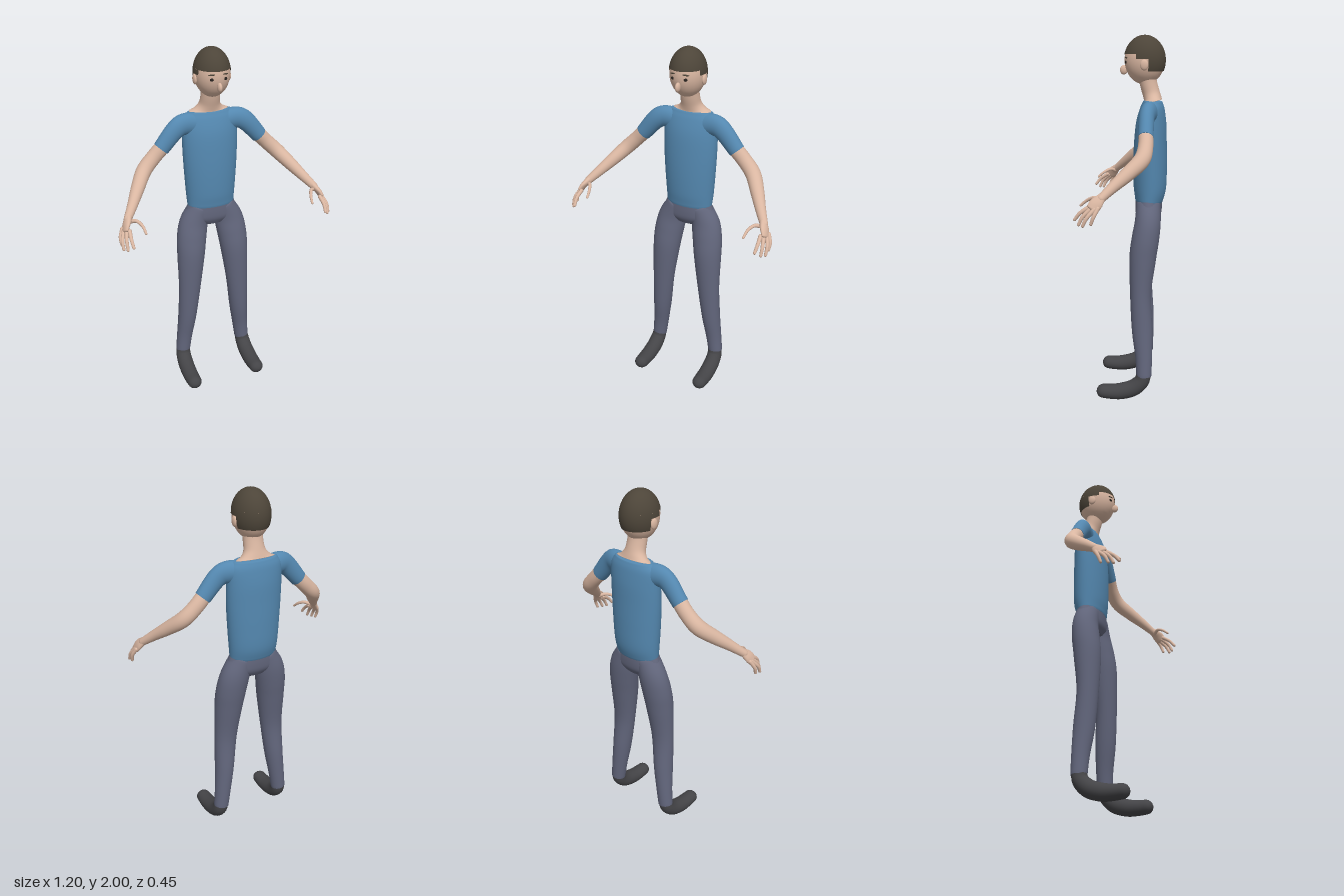
import * as THREE from 'three';

const mat = (name, color, side = THREE.FrontSide) => {
  const m = new THREE.MeshStandardMaterial({ color, side });
  m.name = name;
  return m;
};

const X = new THREE.Vector3(1, 0, 0);
const Z = new THREE.Vector3(0, 0, 1);

// Smooth loft through sections [x, y, z, ra, rb]; ra lies along the ref axis.
// caps = how far each end bulges, relative to its radius.
function loft(sections, { ref = X, caps = [1, 1], steps = 6, sides = 28 } = {}) {
  const path = new THREE.CatmullRomCurve3(sections.map(s => new THREE.Vector3(s[0], s[1], s[2])), false, 'catmullrom', 0.5);
  const radii = new THREE.CatmullRomCurve3(sections.map(s => new THREE.Vector3(s[3], s[4] ?? s[3], 0)), false, 'catmullrom', 0.5);
  const n = (sections.length - 1) * steps, capRings = 6;
  const pos = [], index = [];
  let rings = 0;
  const ring = (t, angle, dir, bulge) => {
    const r = radii.getPoint(t), tan = path.getTangent(t);
    const c = path.getPoint(t).addScaledVector(tan, dir * bulge * Math.min(r.x, r.y) * Math.sin(angle));
    const side = ref.clone().addScaledVector(tan, -ref.dot(tan)).normalize();
    const up = tan.clone().cross(side);
    const k = Math.max(Math.cos(angle), 0.001);
    for (let j = 0; j < sides; j++) {
      const a = (j / sides) * Math.PI * 2;
      const p = c.clone().addScaledVector(side, Math.cos(a) * r.x * k).addScaledVector(up, Math.sin(a) * r.y * k);
      pos.push(p.x, p.y, p.z);
    }
    rings++;
  };
  for (let i = capRings; i > 0; i--) ring(0, (i / capRings) * Math.PI / 2, -1, caps[0]);
  for (let i = 0; i <= n; i++) ring(i / n, 0, 1, 0);
  for (let i = 1; i <= capRings; i++) ring(1, (i / capRings) * Math.PI / 2, 1, caps[1]);
  for (let i = 0; i < rings - 1; i++) {
    for (let j = 0; j < sides; j++) {
      const a = i * sides + j, b = i * sides + (j + 1) % sides;
      index.push(a, b, a + sides, b, b + sides, a + sides);
    }
  }
  const g = new THREE.BufferGeometry();
  g.setAttribute('position', new THREE.Float32BufferAttribute(pos, 3));
  g.setIndex(index);
  g.computeVertexNormals();
  return g;
}

export function createModel() {
  const model = new THREE.Group();
  model.name = 'standingMan';
  const skin = mat('skin', 0xd9b6a1);
  const shirt = mat('shirtBlue', 0x5488b0);
  const pants = mat('trouserGrey', 0x62667c);
  const shoe = mat('shoeCharcoal', 0x444447);
  const hair = mat('hairBrown', 0x4d4539, THREE.DoubleSide);
  const dark = mat('eyeDark', 0x2a2421);

  const add = (name, geometry, material) => {
    const m = new THREE.Mesh(geometry, material);
    m.name = name;
    model.add(m);
    return m;
  };
  const ball = (name, material, p, r) => {
    const m = add(name, new THREE.SphereGeometry(1, 28, 20), material);
    m.position.set(...p);
    m.scale.set(...r);
    return m;
  };

  // Torso and hips
  add('shirtBody', loft([
    [0, 1.105, -0.127, 0.136, 0.076], [0, 1.18, -0.132, 0.142, 0.09], [0, 1.3, -0.132, 0.15, 0.093],
    [0, 1.42, -0.133, 0.156, 0.09], [0, 1.53, -0.137, 0.157, 0.083], [0, 1.61, -0.143, 0.152, 0.067],
    [0, 1.65, -0.145, 0.125, 0.052],
  ], { caps: [0.05, 0.1], sides: 40 }), shirt);
  add('trouserHips', loft([
    [0, 1.125, -0.127, 0.133, 0.073], [0, 1.07, -0.126, 0.154, 0.074], [0, 1.03, -0.125, 0.16, 0.069],
    [0, 0.995, -0.124, 0.1, 0.05],
  ], { caps: [0.05, 0.1], sides: 40 }), pants);

  // Neck flaring into the collar
  add('neck', loft([
    [0, 1.652, -0.146, 0.112, 0.05], [0, 1.667, -0.143, 0.08, 0.048], [0, 1.695, -0.135, 0.058, 0.047],
    [0, 1.74, -0.122, 0.053, 0.047], [0, 1.79, -0.112, 0.053, 0.047],
  ], { caps: [0.05, 0.2] }), skin);

  // Head and face
  ball('head', skin, [0, 1.868, -0.1], [0.094, 0.128, 0.109]);
  ball('nose', skin, [0, 1.817, 0.013], [0.013, 0.025, 0.021]);

  // Hair: crown, sideburn band and nape band on one ellipsoid
  const hairPart = (name, phi, theta) => {
    const g = new THREE.SphereGeometry(1, 40, 18, phi[0], phi[1] - phi[0], theta[0], theta[1] - theta[0]);
    const m = add(name, g, hair);
    m.position.set(0, 1.868, -0.1);
    m.scale.set(0.098, 0.132, 0.113);
  };
  const PI = Math.PI;
  hairPart('hairCrown', [0, 2 * PI], [0, 1.34]);
  hairPart('hairSides', [PI - 0.4, 2 * PI + 0.4], [1.34, 1.54]);
  hairPart('hairNape', [PI + 0.2, 2 * PI - 0.2], [1.54, 2.03]);

  for (const s of [1, -1]) {
    const side = s > 0 ? 'left' : 'right';
    const mirror = pts => pts.map(([x, ...rest]) => [s * x, ...rest]);

    // Ears, eyes and brows
    ball(side + 'Ear', skin, [s * 0.094, 1.842, -0.1], [0.011, 0.028, 0.022]);
    ball(side + 'Eye', dark, [s * 0.038, 1.857, 0.0], [0.01, 0.008, 0.004]).rotation.y = s * 0.4;
    const brow = ball(side + 'Brow', hair, [s * 0.038, 1.881, -0.002], [0.018, 0.004, 0.004]);
    brow.rotation.set(0, s * 0.4, -s * 0.1);

    // Sleeve and bare arm
    add(side + 'Sleeve', loft(mirror([
      [0.07, 1.585, -0.137, 0.05, 0.06], [0.15, 1.595, -0.126, 0.044, 0.059],
      [0.205, 1.57, -0.117, 0.041, 0.053], [0.285, 1.48, -0.115, 0.04, 0.045],
    ]), { ref: Z, caps: [0.5, 0.02] }), shirt);
    add(side + 'Arm', loft(mirror([
      [0.27, 1.496, -0.115, 0.038, 0.042], [0.33, 1.435, -0.116, 0.039, 0.041],
      [0.39, 1.376, -0.098, 0.042, 0.041], [0.445, 1.315, -0.032, 0.037, 0.036],
      [0.495, 1.258, 0.036, 0.028, 0.028], [0.54, 1.208, 0.092, 0.021, 0.021],
    ]), { ref: Z }), skin);

    // Palm, fingers and thumb
    add(side + 'Palm', loft(mirror([
      [0.535, 1.215, 0.088, 0.022, 0.018], [0.554, 1.188, 0.113, 0.033, 0.016], [0.566, 1.164, 0.13, 0.032, 0.013],
    ]), { ref: Z, caps: [1, 0.8] }), skin);
    const fingers = {
      IndexFinger: [[0.548, 1.168, 0.15], [0.552, 1.14, 0.192], [0.549, 1.106, 0.22]],
      MiddleFinger: [[0.561, 1.162, 0.14], [0.573, 1.125, 0.178], [0.574, 1.086, 0.198]],
      RingFinger: [[0.572, 1.16, 0.122], [0.59, 1.122, 0.157], [0.591, 1.083, 0.177]],
      LittleFinger: [[0.575, 1.165, 0.105], [0.592, 1.128, 0.124], [0.591, 1.092, 0.137]],
      Thumb: [[0.532, 1.196, 0.1], [0.502, 1.206, 0.128], [0.482, 1.19, 0.165], [0.475, 1.163, 0.198]],
    };
    for (const [name, pts] of Object.entries(fingers)) {
      const sections = pts.map((p, i) => [...p, 0.011 - 0.0015 * i]);
      add(side + name, loft(mirror(sections), { sides: 12, steps: 4 }), skin);
    }

    // Trouser leg
    add(side + 'TrouserLeg', loft(mirror([
      [0.072, 1.09, -0.126, 0.064, 0.066], [0.106, 1.0, -0.124, 0.083, 0.071],
      [0.124, 0.91, -0.112, 0.086, 0.075], [0.135, 0.8, -0.098, 0.08, 0.073],
      [0.15, 0.6, -0.088, 0.065, 0.058], [0.166, 0.4, -0.098, 0.055, 0.057],
      [0.183, 0.25, -0.108, 0.047, 0.047], [0.196, 0.14, -0.11, 0.043, 0.042],
    ]), { caps: [0.5, 0.02] }), pants);

    // Soft rounded shoe
    add(side + 'Shoe', loft(mirror([
      [0.195, 0.15, -0.11, 0.041, 0.04], [0.199, 0.108, -0.095, 0.044, 0.043], [0.201, 0.07, -0.05, 0.046, 0.046],
      [0.202, 0.05, 0.015, 0.046, 0.045], [0.202, 0.046, 0.07, 0.045, 0.041], [0.202, 0.048, 0.117, 0.042, 0.038],
    ]), { caps: [0.02, 1] }), shoe);
  }
  return model;
}
